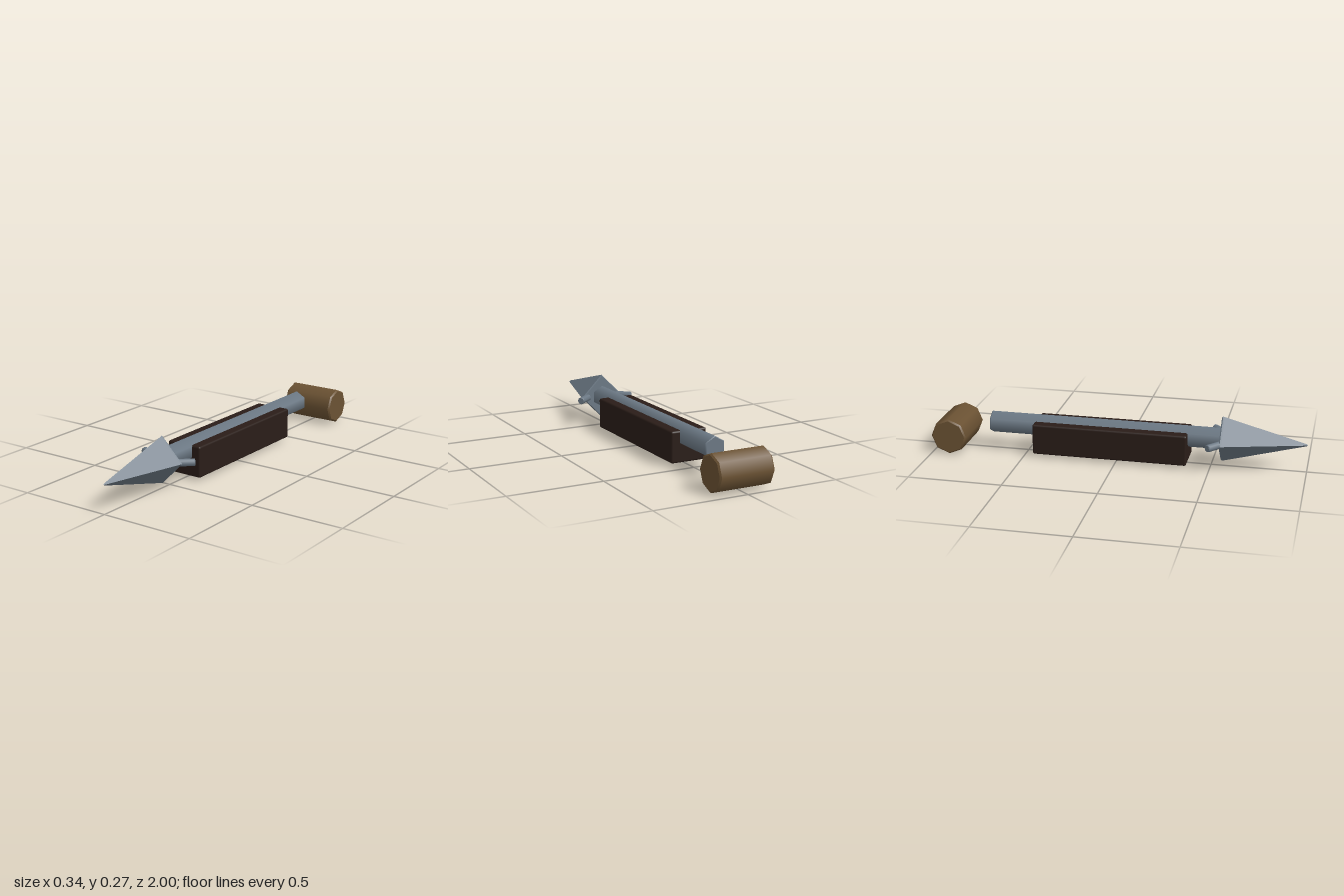
import * as THREE from 'three';
import { RoundedBoxGeometry } from 'three/addons/geometries/RoundedBoxGeometry.js';

const steel = new THREE.MeshStandardMaterial({ color: 0x6c7985 });
const steelFlat = new THREE.MeshStandardMaterial({ color: 0x6c7985, flatShading: true });
const darkWood = new THREE.MeshStandardMaterial({ color: 0x2a1d18 });
const lightWood = new THREE.MeshStandardMaterial({ color: 0x6b5233 });

// Lathed prism along y, from a profile of [radius, y] points; repeated points keep that rim sharp
function prism(profile, sides) {
  return new THREE.LatheGeometry(profile.map(([r, y]) => new THREE.Vector2(r, y)), sides);
}

// Bar with flat ends and narrow bevelled rims
function bar(radius, length, sides, bevel) {
  const h = length / 2, c = radius - bevel, e = h - bevel;
  return prism([
    [0, -h], [c, -h], [c, -h], [radius, -e], [radius, -e],
    [radius, e], [radius, e], [c, h], [c, h], [0, h],
  ], sides);
}

export function createModel() {
  const model = new THREE.Group();
  model.name = 'harpoon';
  const add = (name, geometry, material, x, y, z) => {
    const mesh = new THREE.Mesh(geometry, material);
    mesh.name = name;
    mesh.position.set(x, y, z);
    model.add(mesh);
    return mesh;
  };

  // Hexagonal shaft along z, a corner upward
  add('shaft', bar(0.06, 1.25, 6, 0.004).rotateX(Math.PI / 2), steel, 0, 0.15, -0.075);

  // Four-sided pointed head with slightly softened rim and tip
  const head = prism([[0, 0], [0.118, 0], [0.124, 0.006], [0.122, 0.014], [0.006, 0.443], [0, 0.45]], 4);
  add('head', head.rotateX(Math.PI / 2), steelFlat, 0, 0.149, 0.55);

  // Barbs swept outward and back from the rim of the head
  for (const side of [1, -1]) {
    const root = new THREE.Vector3(side * 0.085, 0.149, 0.558);
    const tip = new THREE.Vector3(side * 0.158, 0.149, 0.496);
    const dir = tip.clone().sub(root);
    const mid = root.clone().add(tip).multiplyScalar(0.5);
    const barb = add(side > 0 ? 'leftBarb' : 'rightBarb', bar(0.02, dir.length(), 8, 0.003),
      steel, mid.x, mid.y, mid.z);
    barb.quaternion.setFromUnitVectors(new THREE.Vector3(0, 1, 0), dir.normalize());
  }

  // Block that cradles the shaft
  add('stock', new RoundedBoxGeometry(0.2, 0.166, 0.83, 2, 0.01), darkWood, 0, 0.1, -0.035);

  // Separate octagonal wooden roller behind the shaft
  add('roller', bar(0.097, 0.3, 8, 0.008).rotateZ(Math.PI / 2), lightWood, 0, 0.097, -0.903);

  return model;
}
